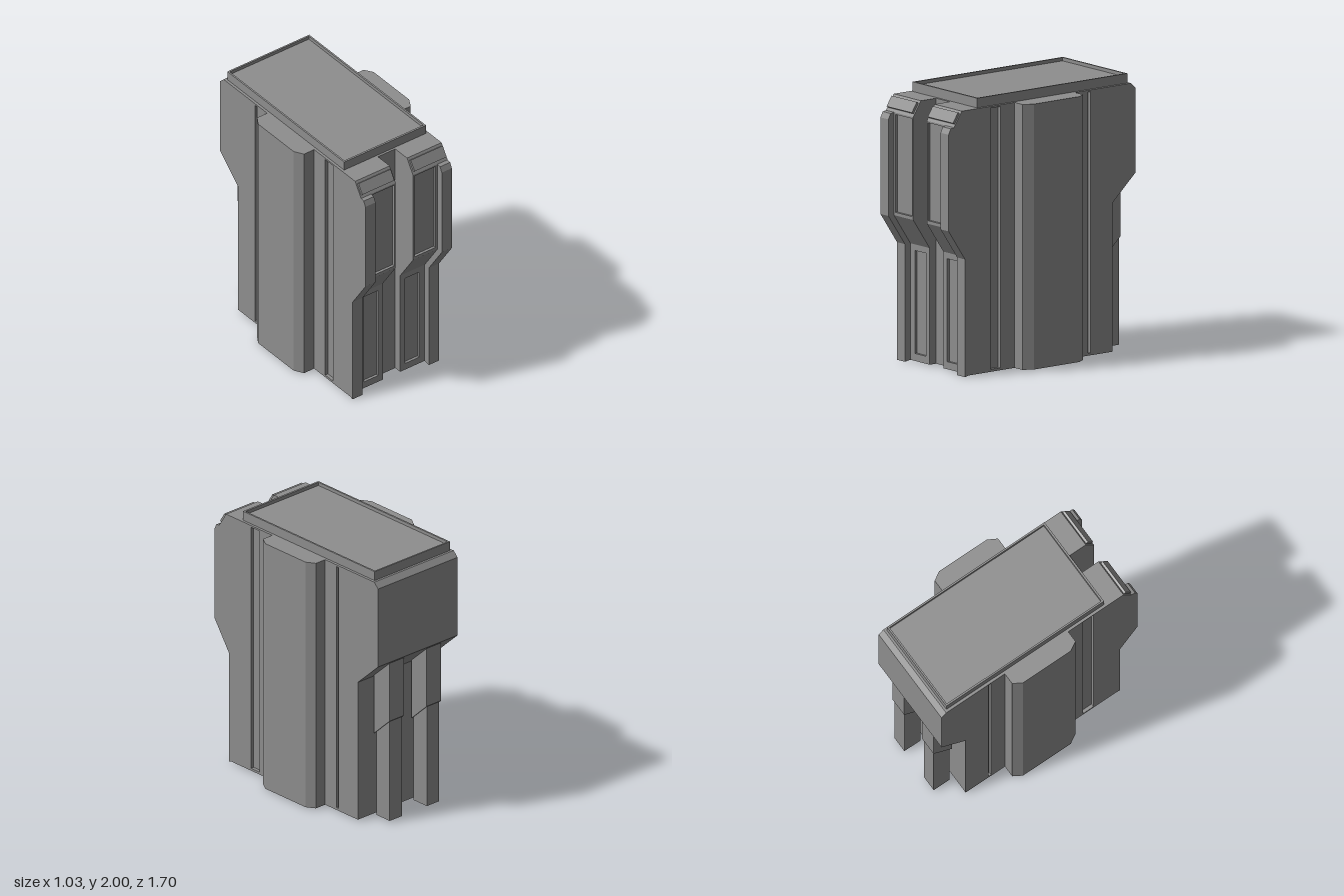
import * as THREE from 'three';

const mat = new THREE.MeshStandardMaterial({ color: 0x8e8e8e, flatShading: true, side: THREE.DoubleSide });
const HALF = 0.385, SLOT = 0.077, STEP = 0.295, BASE = 0.008, TOP = 1.93;

function add(parent, name, geometry) {
  const mesh = new THREE.Mesh(geometry, mat);
  mesh.name = name;
  parent.add(mesh);
  return mesh;
}

const toShape = (pts) => new THREE.Shape(pts.map(([u, v]) => new THREE.Vector2(u, v)));
const rect = (u0, v0, u1, v1) => [[u0, v0], [u1, v0], [u1, v1], [u0, v1]];

// Open surface ruled between two polylines
function ruled(a, b) {
  const pos = [];
  for (let i = 0; i < a.length - 1; i++) {
    pos.push(...a[i], ...b[i], ...b[i + 1], ...a[i], ...b[i + 1], ...a[i + 1]);
  }
  const g = new THREE.BufferGeometry();
  g.setAttribute('position', new THREE.Float32BufferAttribute(pos, 3));
  g.computeVertexNormals();
  return g;
}

// [z, y] profile swept along x
const sweep = (pts, x0, x1) =>
  ruled(pts.map(([z, y]) => [x0, y, z]), pts.map(([z, y]) => [x1, y, z]));

// Flat [z, y] panel at x, facing dir (+1 or -1)
function sideFace(pts, x, dir, holes = []) {
  const turn = (list) => list.map(([z, y]) => [-dir * z, y]);
  const s = toShape(turn(pts));
  s.holes = holes.map((h) => toShape(turn(h)));
  return new THREE.ShapeGeometry(s).rotateY(dir * Math.PI / 2).translate(x, 0, 0);
}

// Flat [x, y] panel at z with one hole
function frontFace(pts, hole, z) {
  const s = toShape(pts);
  s.holes = [toShape(hole)];
  return new THREE.ShapeGeometry(s).translate(0, 0, z);
}

// Inward-facing box without the face at index skip (1 = opens to +x, 4 = opens to +z)
function recess(x0, y0, z0, x1, y1, z1, skip) {
  const g = new THREE.BoxGeometry(x1 - x0, y1 - y0, z1 - z0);
  g.setIndex([...g.index.array].filter((_, i) => Math.floor(i / 6) !== skip));
  g.scale(-1, 1, 1).translate((x0 + x1) / 2, (y0 + y1) / 2, (z0 + z1) / 2);
  const flat = g.toNonIndexed();
  flat.computeVertexNormals();
  return flat;
}

// Solid [z, y] profile between x0 and x1
function prism(pts, x0, x1) {
  return new THREE.ExtrudeGeometry(toShape(pts.map(([z, y]) => [-z, y])), { depth: x1 - x0, bevelEnabled: false })
    .rotateY(Math.PI / 2).translate(x0, 0, 0);
}

const backProfile = [[-0.81, TOP], [-0.85, 1.89], [-0.85, 1.278], [-0.64, 1.085], [-0.64, BASE]];
const pillarProfile = [[0.65, BASE], [0.65, 0.852], [0.8, 1.075], [0.8, 1.82]];
const stripProfile = [[0.7, 0], [0.7, 0.852], [0.85, 1.075], [0.85, 1.775], [0.83, 1.815], [0.8, 1.82]];
const crown = [[0.8, 1.82], [0.73, TOP], [0.592, TOP]];

function createHalf() {
  const half = new THREE.Group();

  // Full side wall with two long grooves
  const grooves = [[0.38, 0.026, 0.47, 1.917], [-0.44, 0.026, -0.42, 1.917]];
  add(half, 'sideWall', sideFace(
    [[0.67, BASE], ...stripProfile, [0.73, TOP], ...backProfile], HALF, 1, grooves.map((g) => rect(...g))));
  for (const [z0, y0, z1, y1] of grooves) {
    add(half, 'sideGroove', recess(HALF - 0.025, y0, z0, HALF, y1, z1, 1));
  }

  // Chamfered side pod, open underneath
  const plan = [[HALF, -0.3], [0.475, -0.3], [0.515, -0.235], [0.515, 0.18], [0.475, 0.25], [HALF, 0.25]];
  add(half, 'podWall', ruled(plan.map(([x, z]) => [x, BASE, z]), plan.map(([x, z]) => [x, TOP, z])));
  add(half, 'podTop', new THREE.ShapeGeometry(toShape(plan.map(([x, z]) => [x, -z])))
    .rotateX(-Math.PI / 2).translate(0, TOP, 0));

  // Front pillar: slope, crown, cheek towards the slot
  add(half, 'pillarSlope', sweep(pillarProfile.slice(1, 3), SLOT, STEP));
  add(half, 'pillarCrown', sweep(crown, SLOT, HALF));
  add(half, 'pillarCheek', sideFace([[0.592, BASE], ...pillarProfile, ...crown.slice(1)], SLOT, -1));

  // Recessed panels on the pillar
  const panels = [
    { face: [SLOT, 1.075, STEP, 1.82], hole: [0.09, 1.098, 0.278, 1.807], z: 0.8 },
    { face: [SLOT, BASE, STEP, 0.852], hole: [0.12, 0.062, 0.245, 0.808], z: 0.65 },
  ];
  for (const { face, hole, z } of panels) {
    add(half, 'pillarFront', frontFace(rect(...face), rect(...hole), z));
    const [x0, y0, x1, y1] = hole;
    add(half, 'pillarPanel', recess(x0, y0, z - 0.02, x1, y1, z, 4));
  }

  // Raised outer strip
  add(half, 'outerStrip', sweep(stripProfile, STEP, HALF));
  add(half, 'outerStripCheek', sideFace([...pillarProfile, ...[...stripProfile].reverse().slice(1)], STEP, -1));

  // Tilted plate on the crown
  const plate = add(half, 'crownPlate', new THREE.BoxGeometry(0.285, 0.085, 0.03));
  plate.position.set(0.2325, 1.878, 0.767);
  plate.rotation.x = -Math.atan2(0.07, 0.11);

  // Rear leg hanging from the overhang
  add(half, 'rearLegUpper', prism([[-0.664, 1.107], [-0.824, 1.254], [-0.824, 0.8], [-0.664, 0.652]], 0.11, 0.25));
  add(half, 'rearLegLower', prism([[-0.676, 0.012], [-0.676, 0.69], [-0.815, 0.82], [-0.815, 0.012]], 0.12, 0.24));
  return half;
}

export function createModel() {
  const model = new THREE.Group();
  model.name = 'tower';

  // Centre shell, open underneath
  add(model, 'topAndBack', sweep([[0.592, TOP], ...backProfile], -HALF, HALF));
  add(model, 'slotBack', sweep([[0.592, BASE], [0.592, TOP]], -SLOT, SLOT));

  // Cap with a thin rim
  const rim = toShape(rect(-0.365, -0.575, 0.365, 0.793));
  rim.holes = [toShape(rect(-0.352, -0.56, 0.352, 0.78))];
  add(model, 'capRim', new THREE.ExtrudeGeometry(rim, { depth: 0.07, bevelEnabled: false })
    .rotateX(-Math.PI / 2).translate(0, TOP, 0));
  add(model, 'capPanel', new THREE.BoxGeometry(0.704, 0.045, 1.34).translate(0, TOP + 0.0225, -0.11));

  // Mirrored halves
  for (const [name, s] of [['leftHalf', 1], ['rightHalf', -1]]) {
    const half = createHalf();
    half.name = name;
    half.scale.x = s;
    model.add(half);
  }
  return model;
}
